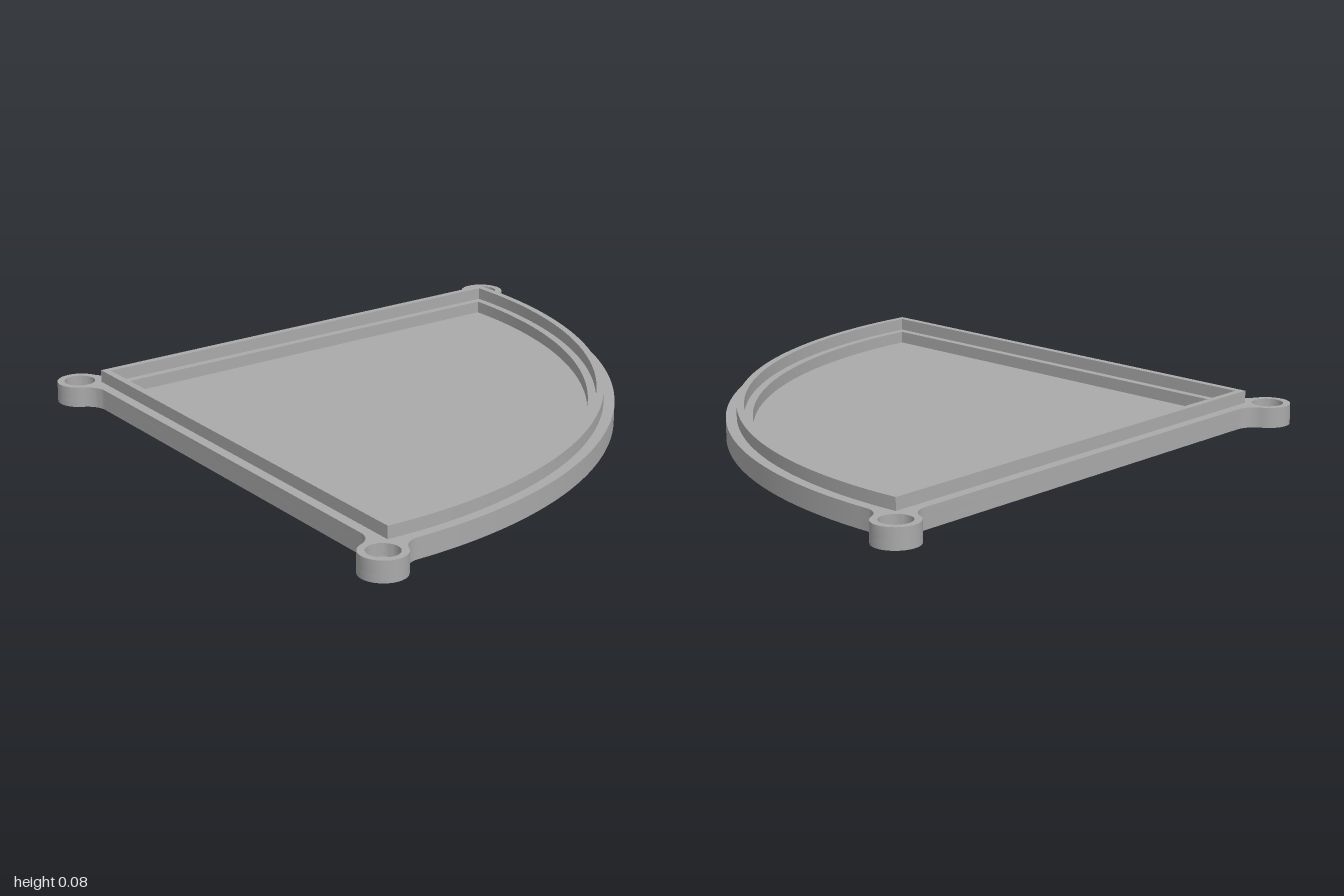
import * as THREE from 'three';
import { toCreasedNormals } from 'three/addons/utils/BufferGeometryUtils.js';

const V = (x, y) => new THREE.Vector2(x, y);

// Plan layout: a sector with straight sides at THETA and an arc round ARC_X
const THETA = 46.5 * Math.PI / 180;
const APEX = V(-0.575, 0), ARC_X = -0.544, ARC_R = 1.2;
const U = V(Math.cos(THETA), Math.sin(THETA));
const N = V(-U.y, U.x);
const RIM = 0.026, BOSS_R = 0.055, HOLE_R = 0.038, FILLET = 0.055;
const BOSSES = [V(-0.63, 0), V(0.265, 0.945), V(0.265, -0.945)];
const FLOOR_Y = 0.02, RIM_Y = 0.05, LIP_Y = 0.08;

// Points on an arc from angle a to b, turning by dir (1 or -1)
function arc(c, r, a, b, dir, steps) {
  let sweep = (b - a) * dir;
  while (sweep < 0) sweep += Math.PI * 2;
  while (sweep >= Math.PI * 2) sweep -= Math.PI * 2;
  return Array.from({ length: steps + 1 }, (_, i) => {
    const t = a + dir * sweep * i / steps;
    return V(c.x + r * Math.cos(t), c.y + r * Math.sin(t));
  });
}
const angleTo = (from, to) => Math.atan2(to.y - from.y, to.x - from.x);

// Mirror a half outline across the long axis
function mirrored(half) {
  const inner = half.slice(1, -1).reverse().map(p => V(p.x, -p.y));
  return [...half, ...inner];
}

// Sharp-cornered sector, inset by d
function sector(d) {
  const c = V(ARC_X, 0), r = ARC_R - d;
  const tip = V(APEX.x + d / Math.sin(THETA), 0);
  const k = tip.clone().sub(c), b = k.dot(U);
  const s = -b + Math.sqrt(b * b - k.lengthSq() + r * r);
  const corner = tip.clone().addScaledVector(U, s);
  return mirrored([...arc(c, r, 0, angleTo(c, corner), 1, 40), tip]);
}

// Outer outline with the corner bosses blended in by fillets
function outline() {
  const c = V(ARC_X, 0), R = ARC_R + RIM, q = BOSS_R + FILLET;
  const [tipBoss, boss] = BOSSES;
  // fillet centre between the arc and the side boss
  const d = c.distanceTo(boss);
  const a = ((R + FILLET) ** 2 - q * q + d * d) / (2 * d);
  const h = Math.sqrt((R + FILLET) ** 2 - a * a);
  const e = boss.clone().sub(c).normalize();
  const f1 = V(c.x + e.x * a + e.y * h, c.y + e.y * a - e.x * h);
  // fillet centre between a straight side and a boss
  const sideFillet = (b, sign) => {
    const off = RIM + FILLET - b.clone().sub(APEX).dot(N);
    return b.clone().addScaledVector(N, off).addScaledVector(U, sign * Math.sqrt(q * q - off * off));
  };
  const f2 = sideFillet(boss, -1), f3 = sideFillet(tipBoss, 1);
  const inward = angleTo(N, V(0, 0));
  return mirrored([
    ...arc(c, R, 0, angleTo(c, f1), 1, 40),
    ...arc(f1, FILLET, angleTo(f1, c), angleTo(f1, boss), -1, 8).slice(1),
    ...arc(boss, BOSS_R, angleTo(boss, f1), angleTo(boss, f2), 1, 20).slice(1),
    ...arc(f2, FILLET, angleTo(f2, boss), inward, -1, 8).slice(1),
    ...arc(f3, FILLET, inward, angleTo(f3, tipBoss), -1, 8),
    ...arc(tipBoss, BOSS_R, angleTo(tipBoss, f3), Math.PI, 1, 10).slice(1),
  ]);
}

export function createModel() {
  const group = new THREE.Group();
  const grey = new THREE.MeshStandardMaterial({ color: 0xaaaaaa });
  grey.name = 'grey';

  // Upright slab between two heights, with optional holes
  function slab(name, points, holes, y0, y1) {
    const shape = new THREE.Shape(points);
    shape.holes = holes.map(h => new THREE.Path(h));
    let geo = new THREE.ExtrudeGeometry(shape, { depth: y1 - y0, bevelEnabled: false });
    geo.rotateX(-Math.PI / 2).translate(0, y0, 0);
    geo = toCreasedNormals(geo, 0.5);
    const mesh = new THREE.Mesh(geo, grey);
    mesh.name = name;
    group.add(mesh);
  }

  const outer = outline();
  const bossHoles = BOSSES.map(b => arc(b, HOLE_R, 0, Math.PI * 1.9999, 1, 32).slice(0, -1));

  // Closed bottom, rim with blind boss holes, and raised lip
  slab('floor', outer, [], 0, FLOOR_Y);
  slab('rim', outer, [sector(0.038), ...bossHoles], FLOOR_Y, RIM_Y);
  slab('lip', sector(0), [sector(0.018)], RIM_Y, LIP_Y);
  return group;
}
